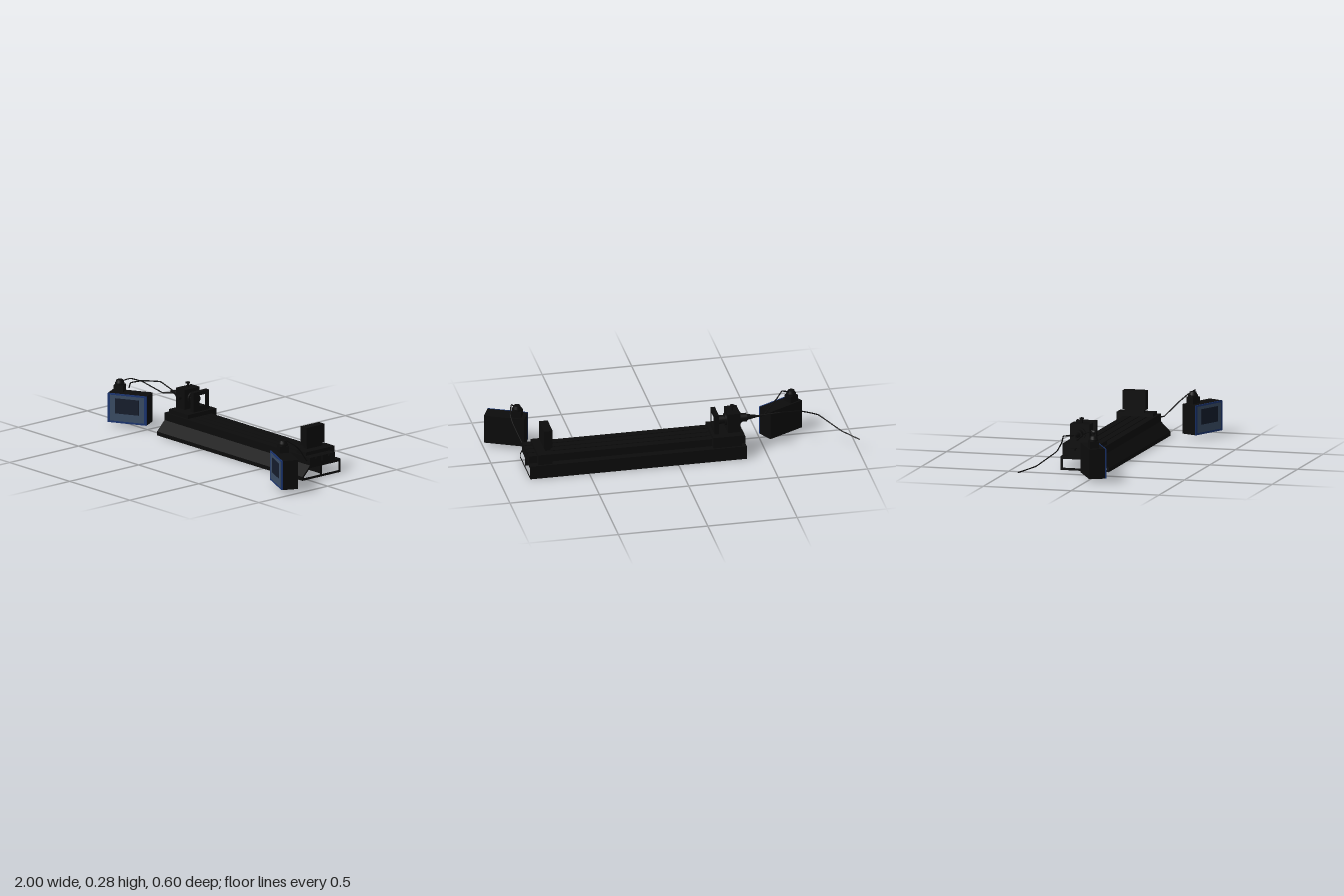
import * as THREE from 'three';

const mat = (color) => new THREE.MeshStandardMaterial({ color });
const black = mat(0x0c0c0c), blue = mat(0x1a3470), slate = mat(0x3a4c64), navy = mat(0x141c2c);

function add(parent, name, geometry, material, x = 0, y = 0, z = 0) {
  const mesh = new THREE.Mesh(geometry, material);
  mesh.name = name;
  mesh.position.set(x, y, z);
  parent.add(mesh);
  return mesh;
}

// Box given by its limits on each axis
function block(parent, name, [x0, x1], [y0, y1], [z0, z1], material = black) {
  return add(parent, name, new THREE.BoxGeometry(x1 - x0, y1 - y0, z1 - z0), material,
    (x0 + x1) / 2, (y0 + y1) / 2, (z0 + z1) / 2);
}

// Section drawn as [z, y] corners, run along x; holes are given the same way
function section(parent, name, outline, holes, x0, x1) {
  const points = (list) => list.map(([z, y]) => new THREE.Vector2(-z, y));
  const shape = new THREE.Shape(points(outline));
  shape.holes = holes.map((h) => new THREE.Path(points(h)));
  const geo = new THREE.ExtrudeGeometry(shape, { depth: x1 - x0, bevelEnabled: false });
  geo.rotateY(Math.PI / 2);
  return add(parent, name, geo, black, x0, 0, 0);
}

// Round part lying along x, radius r0 at x0 and r1 at x1
function barrel(parent, name, x0, x1, r0, r1, y, z) {
  const geo = new THREE.CylinderGeometry(r1, r0, x1 - x0, 20).rotateZ(-Math.PI / 2);
  return add(parent, name, geo, black, (x0 + x1) / 2, y, z);
}

function wire(parent, name, points) {
  const path = new THREE.CatmullRomCurve3(
    points.map((p) => new THREE.Vector3(...p)), false, 'catmullrom', 0.1);
  return add(parent, name, new THREE.TubeGeometry(path, 60, 0.0035, 6), black);
}

// Power meter with display and plug on top
function meter(name, x, z, turn) {
  const g = new THREE.Group();
  g.name = name;
  g.position.set(x, 0.105, z);
  g.rotation.y = turn;
  add(g, 'meterCase', new THREE.BoxGeometry(0.226, 0.165, 0.088), black, 0, 0, -0.004);
  add(g, 'meterFrame', new THREE.BoxGeometry(0.226, 0.165, 0.007), blue, 0, 0, 0.0435);
  add(g, 'meterPanel', new THREE.BoxGeometry(0.198, 0.146, 0.002), slate, 0, 0.001, 0.047);
  add(g, 'meterScreen', new THREE.BoxGeometry(0.138, 0.086, 0.002), navy, 0, 0.014, 0.048);
  add(g, 'plugBase', new THREE.BoxGeometry(0.055, 0.038, 0.05), black, -0.065, 0.101, -0.014);
  add(g, 'plugCollar', new THREE.CylinderGeometry(0.027, 0.027, 0.012, 16), black, -0.065, 0.125, -0.014);
  add(g, 'plugCap', new THREE.CylinderGeometry(0.018, 0.024, 0.017, 16), black, -0.065, 0.139, -0.014);
  return g;
}

export function createModel() {
  const model = new THREE.Group();
  model.name = 'opticalBench';

  // Hollow bench with a sloping front
  section(model, 'benchBase',
    [[0.035, 0], [0.035, 0.022], [-0.02, 0.077], [-0.24, 0.077], [-0.24, 0]],
    [
      [[0.025, 0.013], [0.025, 0.019], [-0.018, 0.062], [-0.094, 0.062], [-0.094, 0.013]],
      [[-0.107, 0.013], [-0.107, 0.062], [-0.227, 0.062], [-0.227, 0.013]],
    ], -0.38, 0.83);

  // Slotted guide rail on the bench
  section(model, 'guideRail',
    [[-0.02, 0.077], [-0.02, 0.12], [-0.06, 0.12], [-0.06, 0.108], [-0.068, 0.108], [-0.068, 0.12],
      [-0.105, 0.12], [-0.105, 0.09], [-0.112, 0.09], [-0.112, 0.12],
      [-0.152, 0.12], [-0.152, 0.108], [-0.16, 0.108], [-0.16, 0.12], [-0.2, 0.12], [-0.2, 0.077]],
    [], -0.38, 0.83);

  // Source carriage on the right
  const zc = -0.137, yc = 0.203;
  const source = new THREE.Group();
  source.name = 'sourceCarriage';
  model.add(source);
  block(source, 'carriageBase', [-0.355, -0.195], [0.12, 0.143], [-0.2, -0.03]);
  block(source, 'carriageClamp', [-0.355, -0.195], [0.08, 0.143], [-0.236, -0.2]);
  block(source, 'sourceBlock', [-0.355, -0.285], [0.143, 0.255], [zc - 0.055, zc + 0.055]);
  barrel(source, 'sourceBarrel', -0.4, -0.243, 0.024, 0.024, yc, zc);
  barrel(source, 'barrelFlange', -0.365, -0.275, 0.034, 0.034, yc, zc);
  barrel(source, 'cableSleeve', -0.46, -0.4, 0.006, 0.017, yc, zc);
  add(source, 'topScrew', new THREE.CylinderGeometry(0.006, 0.006, 0.026, 12), black, -0.32, 0.266, zc);
  add(source, 'topScrewHead', new THREE.CylinderGeometry(0.012, 0.012, 0.008, 16), black, -0.32, 0.281, zc);
  const sideKnob = new THREE.CylinderGeometry(0.012, 0.012, 0.022, 16).rotateX(Math.PI / 2);
  add(source, 'sideKnob', sideKnob, black, -0.32, 0.207, -0.072);

  // Upright frame with a square window
  section(source, 'windowFrame',
    [[-0.08, 0.143], [-0.08, 0.255], [-0.194, 0.255], [-0.194, 0.143]],
    [[[-0.107, 0.172], [-0.107, 0.234], [-0.167, 0.234], [-0.167, 0.172]]], -0.235, -0.21);

  // Detector carriage on the left
  const detector = new THREE.Group();
  detector.name = 'detectorCarriage';
  model.add(detector);
  block(detector, 'carriageBase', [0.705, 0.785], [0.12, 0.14], [-0.2, -0.03]);
  block(detector, 'carriageClamp', [0.705, 0.785], [0.08, 0.14], [-0.237, -0.2]);
  block(detector, 'detectorNeck', [0.706, 0.738], [0.14, 0.16], [-0.19, -0.08]);
  block(detector, 'detectorPlate', [0.697, 0.745], [0.158, 0.263], [-0.2, -0.068]);

  // Meters, each turned towards the bench
  model.add(meter('rightMeter', -0.623, 0.0185, 0.497));
  model.add(meter('leftMeter', 0.872, 0.206, -0.43));

  // Cables
  wire(model, 'rightMeterCable', [[-0.69, 0.24, 0.035], [-0.63, 0.266, 0.01], [-0.59, 0.248, -0.04],
    [-0.5, 0.19, -0.11], [-0.44, 0.198, -0.135], [-0.39, 0.205, zc]]);
  wire(model, 'supplyCable', [[-0.998, 0.085, -0.305], [-0.91, 0.11, -0.225], [-0.8, 0.177, -0.14],
    [-0.7, 0.21, -0.14], [-0.58, 0.225, -0.165], [-0.44, 0.205, -0.14], [-0.39, 0.203, zc]]);
  wire(model, 'leftMeterCable', [[0.82, 0.24, 0.168], [0.85, 0.258, 0.17], [0.866, 0.225, 0.12],
    [0.86, 0.19, 0.08], [0.825, 0.107, 0.0], [0.78, 0.104, -0.045]]);

  return model;
}
